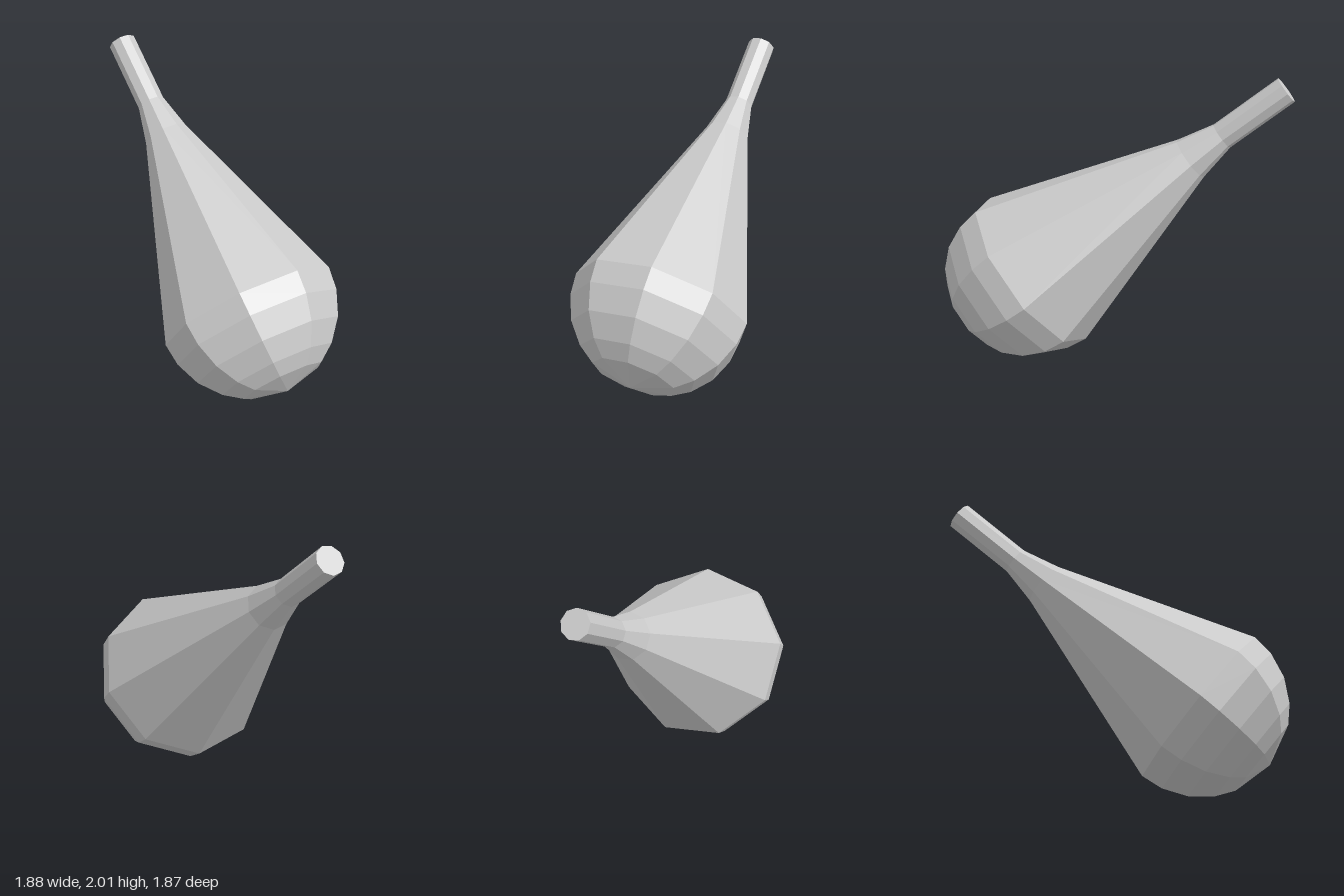
import * as THREE from 'three';

const SIDES = 9;
const RADIUS = 0.612;

export function createModel() {
  const group = new THREE.Group();
  group.name = 'roundFlask';
  const material = new THREE.MeshStandardMaterial({ color: 0xcccccc, flatShading: true });

  // Turned part from [radius, height] pairs, listed from the bulb towards the mouth
  const turned = (name, profile) => {
    const points = profile.map(([r, h]) => new THREE.Vector2(r, h));
    const mesh = new THREE.Mesh(new THREE.LatheGeometry(points, SIDES), material);
    mesh.name = name;
    group.add(mesh);
  };

  // Rounded bottom: rings of a half sphere, from the pole to the equator
  const latitudes = [90, 62, 48.5, 31.5, 14.5, 0];
  turned('bulb', latitudes.map((deg) => {
    const a = THREE.MathUtils.degToRad(deg);
    return [deg === 90 ? 0 : RADIUS * Math.cos(a), -RADIUS * Math.sin(a)];
  }));

  // Long cone that narrows in two steps
  turned('taperedBody', [[RADIUS, 0], [0.155, 1.37], [0.096, 1.63]]);

  // Straight stem with a flat closed end
  turned('stem', [[0.096, 1.63], [0.096, 2.15], [0, 2.15]]);

  // Lean the axis diagonally, with one edge turned to its place around it
  const up = new THREE.Vector3(-0.557, 0.62, -0.553).normalize();
  const edge = new THREE.Vector3(0.348, 0.474, 0.179);
  const side = new THREE.Vector3().crossVectors(up, edge).normalize();
  edge.crossVectors(side, up);
  group.quaternion.setFromRotationMatrix(new THREE.Matrix4().makeBasis(side, up, edge));
  group.position.set(0.342, 0.598, 0.333);

  const model = new THREE.Group();
  model.name = 'model';
  model.add(group);
  return model;
}
